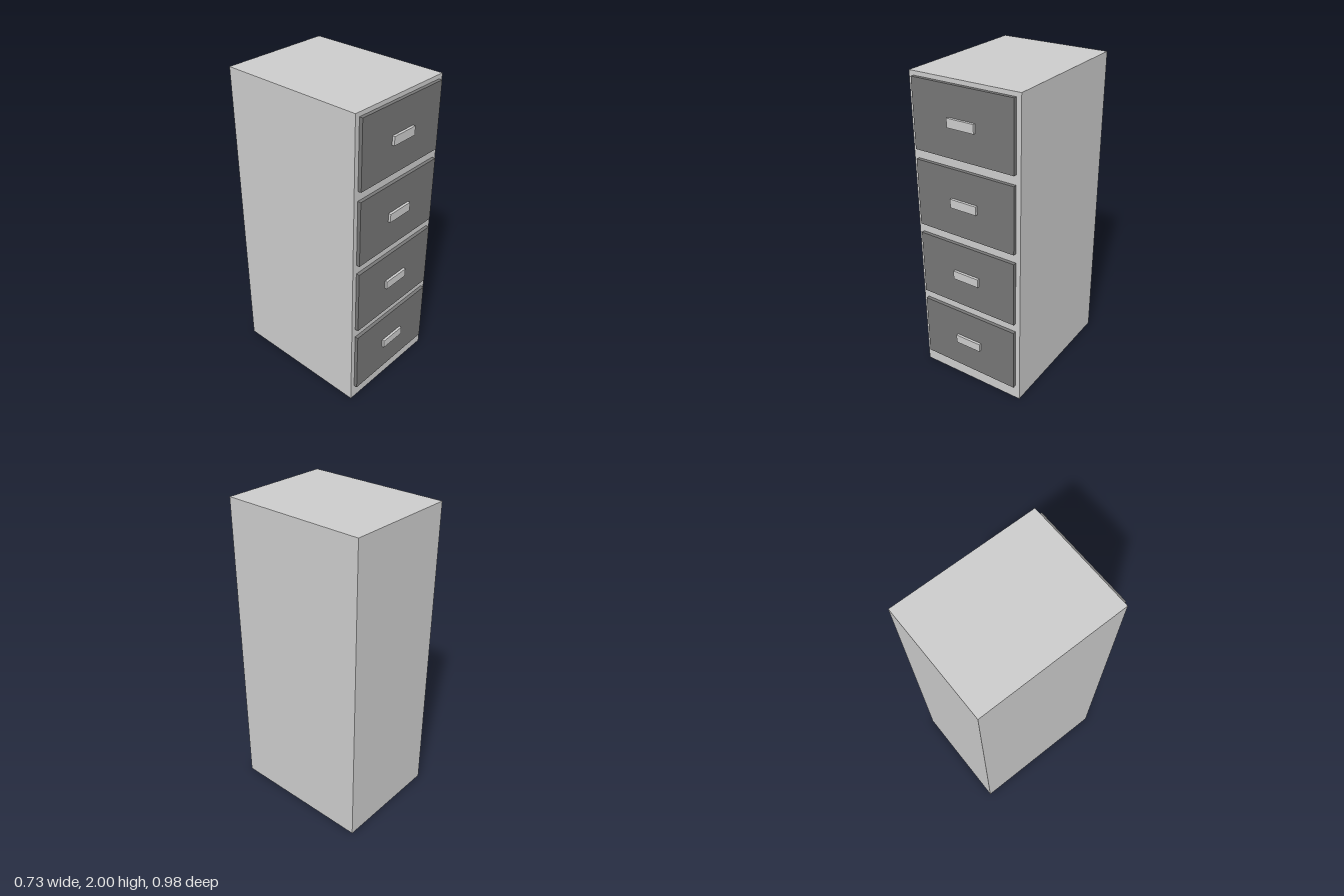
import * as THREE from 'three';

const DRAWERS = 4;
const PITCH = 0.485;
const FIRST_Y = 0.307;

export function createModel() {
  const model = new THREE.Group();
  model.name = 'filingCabinet';

  const bodyMaterial = new THREE.MeshStandardMaterial({ color: 0xcccccc });
  const drawerMaterial = new THREE.MeshStandardMaterial({ color: 0x757575 });

  // Box centred on x = 0 and y, spanning zBack to zFront
  function addBox(parent, name, width, height, zBack, zFront, y, material) {
    const geometry = new THREE.BoxGeometry(width, height, zFront - zBack);
    const mesh = new THREE.Mesh(geometry, material);
    mesh.name = name;
    mesh.position.set(0, y, (zBack + zFront) / 2);
    parent.add(mesh);
  }

  // Cabinet body
  addBox(model, 'cabinetBody', 0.727, 2, -0.488, 0.45, 1, bodyMaterial);

  // Drawers, bottom to top, each a front panel with a handle
  for (let i = 0; i < DRAWERS; i++) {
    const drawer = new THREE.Group();
    drawer.name = `drawer${i + 1}`;
    drawer.position.y = FIRST_Y + i * PITCH;
    addBox(drawer, 'drawerFront', 0.667, 0.424, 0.445, 0.472, 0, drawerMaterial);
    addBox(drawer, 'drawerHandle', 0.178, 0.055, 0.468, 0.488, 0, bodyMaterial);
    model.add(drawer);
  }

  return model;
}
